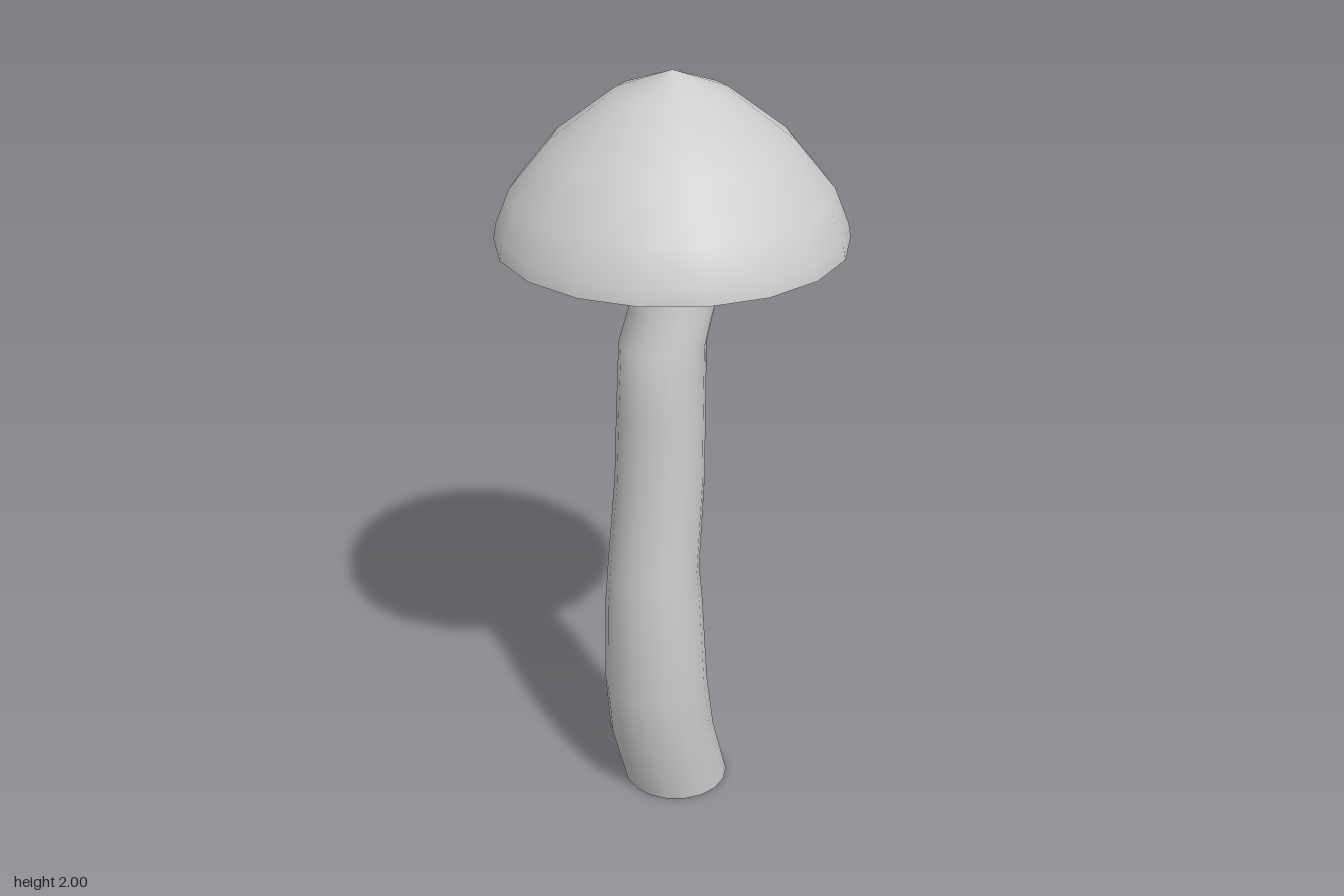
import * as THREE from 'three';
import { toCreasedNormals } from 'three/addons/utils/BufferGeometryUtils.js';

const SIDES = 18;

const lathe = (points) => new THREE.LatheGeometry(
  points.map(([r, y]) => new THREE.Vector2(r, y)), SIDES, Math.PI / 2);

export function createModel() {
  const group = new THREE.Group();
  group.name = 'mushroom';
  const material = new THREE.MeshStandardMaterial({ color: 0xcccccc });

  const add = (name, geometry) => {
    const mesh = new THREE.Mesh(geometry, material);
    mesh.name = name;
    group.add(mesh);
  };

  // Cap: pointed dome
  add('capTop', lathe([
    [0.432, 1.584], [0.426, 1.62], [0.39, 1.71],
    [0.292, 1.83], [0.14, 1.947], [0, 2],
  ]));

  // Underside: rounded collar on the stem, conical hollow, thin rim
  add('capUnderside', toCreasedNormals(lathe([
    [0.1, 1.655], [0.145, 1.685], [0.18, 1.735], [0.2, 1.81],
    [0.415, 1.6], [0.417, 1.584], [0.432, 1.584],
  ]), 0.8));

  // Stem: stacked rings of [height, forward offset, radius]
  const rings = [
    [0, -0.015, 0.14], [0.19, 0.045, 0.14], [0.35, 0.067, 0.136],
    [0.6, 0.075, 0.127], [0.7, 0.076, 0.119], [0.95, 0.05, 0.115],
    [1.15, 0.044, 0.112], [1.325, 0.037, 0.109], [1.405, 0.002, 0.106],
    [1.7, 0, 0.103],
  ];
  const last = rings.length - 1;
  const stem = new THREE.CylinderGeometry(1, 1, last, SIDES, last, false, Math.PI / 2);
  const pos = stem.attributes.position;
  for (let i = 0; i < pos.count; i++) {
    const [y, z, r] = rings[Math.round(pos.getY(i) + last / 2)];
    pos.setXYZ(i, pos.getX(i) * r, y, pos.getZ(i) * r + z);
  }
  add('stem', toCreasedNormals(stem, 1.0));

  return group;
}
